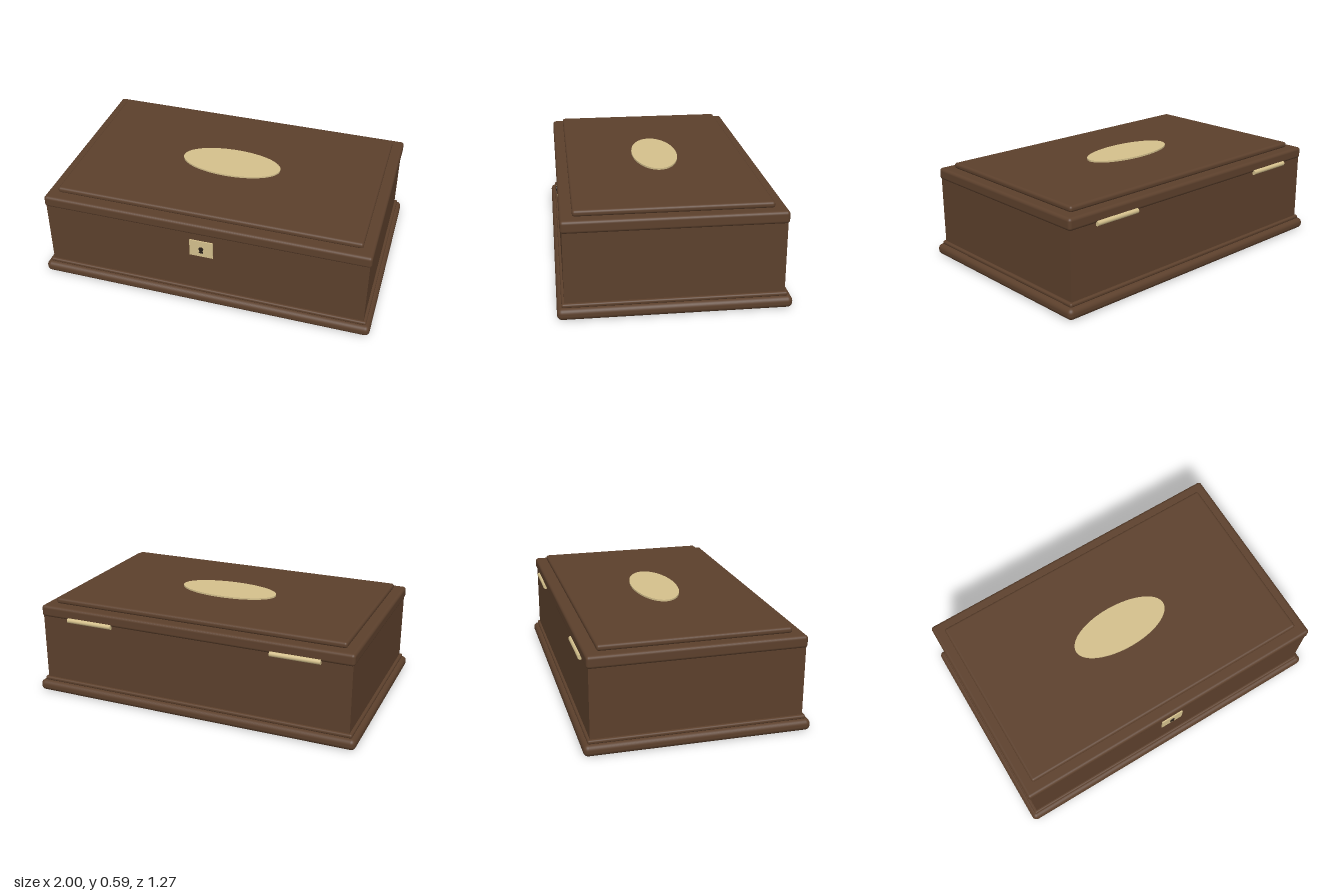
import * as THREE from 'three';
import { RoundedBoxGeometry } from 'three/addons/geometries/RoundedBoxGeometry.js';

export function createModel() {
  const group = new THREE.Group();
  group.name = 'woodenBox';

  const material = (name, color) => {
    const m = new THREE.MeshStandardMaterial({ color });
    m.name = name;
    return m;
  };
  const wood = material('wood', 0x5c402c);
  const brass = material('brass', 0xd4c08c);
  const dark = material('keyholeDark', 0x2a2018);

  const add = (name, geometry, mat, x = 0, y = 0, z = 0) => {
    const mesh = new THREE.Mesh(geometry, mat);
    mesh.name = name;
    mesh.position.set(x, y, z);
    group.add(mesh);
    return mesh;
  };

  // Wooden slab with rounded edges, spanning y0 to y1
  const slab = (name, width, depth, y0, y1, radius) =>
    add(name, new RoundedBoxGeometry(width, y1 - y0, depth, 4, radius), wood, 0, (y0 + y1) / 2, 0);

  slab('plinth', 2, 1.27, 0, 0.065, 0.028);
  slab('plinthMoulding', 1.95, 1.22, 0.063, 0.086, 0.01);
  slab('lid', 1.934, 1.208, 0.48, 0.55, 0.018);
  slab('lidPanel', 1.806, 1.074, 0.548, 0.583, 0.015);

  // Square-edged case between plinth and lid
  add('case', new THREE.BoxGeometry(1.916, 0.43, 1.19), wood, 0, 0.28, 0);

  // Oval plate on the lid
  const oval = add('ovalPlate', new THREE.CylinderGeometry(1, 1, 0.012, 64), brass, 0, 0.587, 0);
  oval.scale.set(0.303, 1, 0.137);

  // Lock plate with its keyhole: round top over a flared slot
  add('lockPlate', new THREE.BoxGeometry(0.14, 0.108, 0.009), brass, 0, 0.385, 0.598);
  const bow = add('keyholeTop', new THREE.CylinderGeometry(0.014, 0.014, 0.006, 16), dark, 0, 0.386, 0.604);
  bow.rotation.x = Math.PI / 2;
  const slot = new THREE.Shape([
    new THREE.Vector2(-0.013, -0.024), new THREE.Vector2(0.013, -0.024),
    new THREE.Vector2(0.006, 0), new THREE.Vector2(-0.006, 0),
  ]);
  add('keyholeSlot', new THREE.ExtrudeGeometry(slot, { depth: 0.006, bevelEnabled: false }),
    dark, 0, 0.382, 0.601);

  // Pair of hinge barrels along the back
  for (const side of [-1, 1]) {
    const hinge = add(side > 0 ? 'leftHinge' : 'rightHinge',
      new THREE.CylinderGeometry(0.015, 0.015, 0.29, 20), brass, side * 0.638, 0.48, -0.602);
    hinge.rotation.z = Math.PI / 2;
  }
  return group;
}
